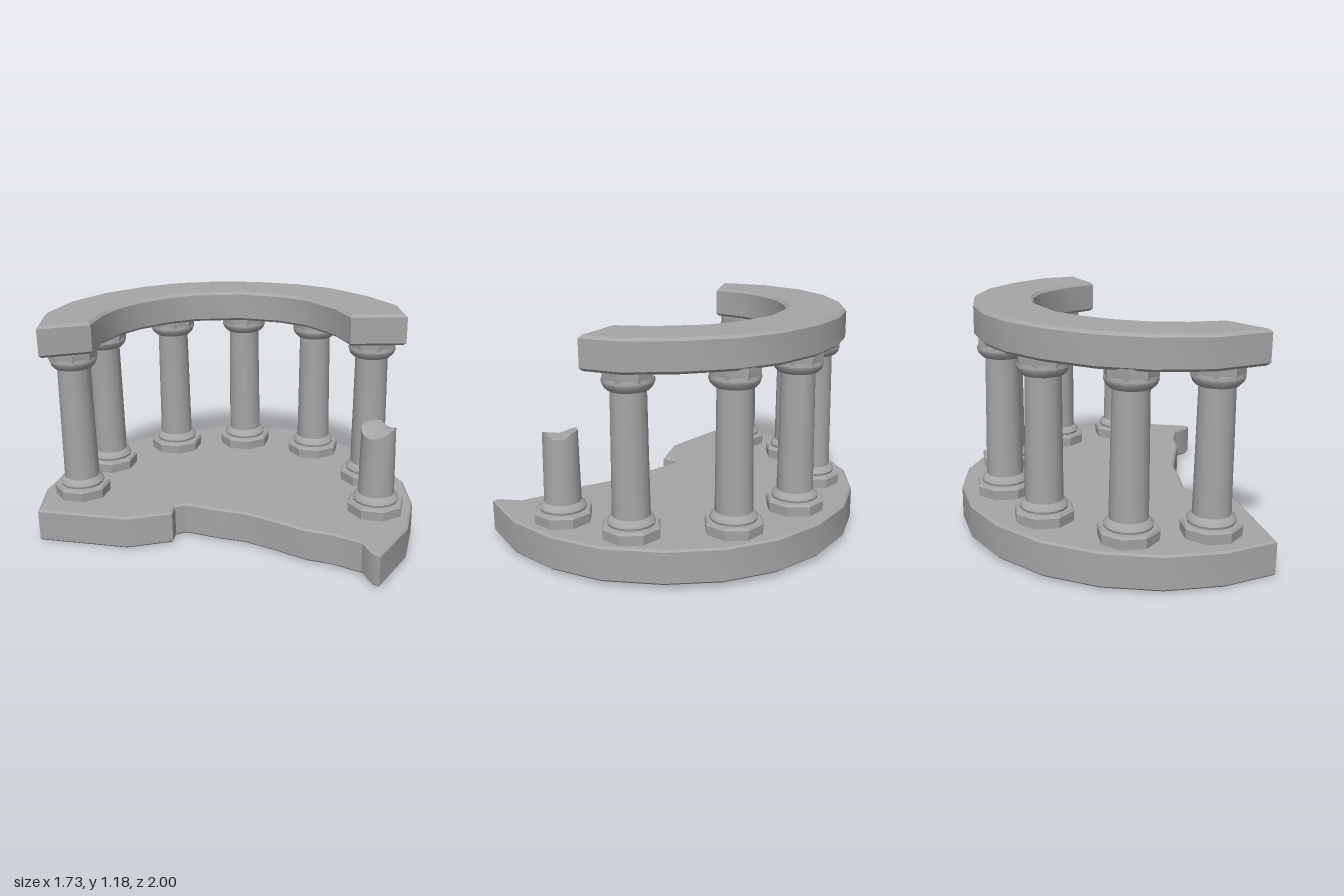
import * as THREE from 'three';
import { toCreasedNormals } from 'three/addons/utils/BufferGeometryUtils.js';

const stone = new THREE.MeshStandardMaterial({ color: 0xa6a6a6 });
stone.name = 'stone';

function addPart(parent, name, geometry, y = 0) {
  const mesh = new THREE.Mesh(toCreasedNormals(geometry, 0.6), stone);
  mesh.name = name;
  mesh.position.y = y;
  parent.add(mesh);
  return mesh;
}

// Flat slab with a worn edge from an outline of [x, z] points
function slab(points, y0, y1, bevel) {
  const shape = new THREE.Shape(points.map(([x, z]) => new THREE.Vector2(x, -z)));
  const geometry = new THREE.ExtrudeGeometry(shape, {
    depth: y1 - y0 - 2 * bevel, bevelThickness: bevel, bevelSize: bevel,
    bevelOffset: -bevel, bevelSegments: 1,
  });
  return geometry.rotateX(-Math.PI / 2).translate(0, y0 + bevel, 0);
}

function lathe(profile, sides) {
  return new THREE.LatheGeometry(profile.map(([r, y]) => new THREE.Vector2(r, y)), sides);
}

const FLOOR = 0.195, BEAM = 1.01;

// Octagonal plinth and rounded foot, shared by all columns
function columnBase(x, z, name) {
  const column = new THREE.Group();
  column.name = name;
  column.position.set(x, 0, z);
  addPart(column, 'plinth', lathe([[0.146, FLOOR - 0.01], [0.15, FLOOR + 0.05], [0.14, FLOOR + 0.063], [0, FLOOR + 0.063]], 8));
  addPart(column, 'foot', lathe([[0.115, FLOOR + 0.06], [0.119, FLOOR + 0.075], [0.112, FLOOR + 0.09], [0.094, FLOOR + 0.105]], 16));
  return column;
}

function fullColumn(x, z) {
  const column = columnBase(x, z, 'column');
  addPart(column, 'shaft', lathe([[0.094, FLOOR + 0.06], [0.092, 0.4], [0.086, 0.93]], 14));
  addPart(column, 'capitalBowl', lathe([[0.084, 0.912], [0.1, 0.915], [0.117, 0.932], [0.126, 0.955], [0.122, 0.975]], 16));
  addPart(column, 'capitalBlock', lathe([[0, 0.955], [0.122, 0.955], [0.126, 0.97], [0.126, BEAM + 0.01]], 8));
  return column;
}

// Snapped column: the top is pushed down along a slanted, jagged break
function brokenColumn(x, z) {
  const column = columnBase(x, z, 'brokenColumn');
  const top = 0.66, bottom = FLOOR + 0.06;
  const geometry = new THREE.CylinderGeometry(0.087, 0.094, top - bottom, 16, 1);
  geometry.translate(0, (top + bottom) / 2, 0);
  const p = geometry.attributes.position;
  for (let i = 0; i < p.count; i++) {
    if (p.getY(i) < top - 0.01) continue;
    const px = p.getX(i), pz = p.getZ(i);
    const slope = Math.max(0, -px - 0.02) * 0.65;
    const chip = px > 0.06 && pz > -0.02 ? 0.025 : 0;
    const dip = Math.hypot(px, pz) < 0.01 ? 0.015 : 0;
    p.setY(i, top - slope - chip - dip);
  }
  addPart(column, 'brokenShaft', geometry);
  return column;
}

export function createModel() {
  const ruin = new THREE.Group();
  ruin.name = 'ruinedColonnade';

  // Floor: rounded back and side, ragged broken edge on the other side
  const floor = [
    [-0.865, -0.69], [-0.65, -0.86], [-0.385, -0.97], [-0.1, -1], [0.185, -0.95],
    [0.445, -0.815], [0.645, -0.63], [0.79, -0.38], [0.862, -0.1], [0.847, 0.175],
    [0.75, 0.44], [0.585, 0.69], [0.365, 0.86], [0.095, 0.97], [-0.23, 0.995],
    [-0.228, 0.95], [-0.165, 0.86], [-0.18, 0.7], [-0.22, 0.57], [-0.23, 0.4],
    [-0.25, 0.21], [-0.3, 0.07], [-0.35, -0.11], [-0.4, -0.14], [-0.47, -0.1],
    [-0.66, -0.255],
  ];
  addPart(ruin, 'floor', slab(floor, 0.018, FLOOR, 0.01));

  // Curved beam resting on the columns
  const beam = [
    [-0.785, -0.665], [-0.565, -0.85], [-0.305, -0.935], [-0.05, -0.935], [0.205, -0.865],
    [0.405, -0.76], [0.565, -0.605], [0.69, -0.405], [0.78, -0.15], [0.797, 0.08],
    [0.737, 0.345], [0.63, 0.585], [0.472, 0.72], [0.295, 0.49], [0.405, 0.33],
    [0.485, 0.095], [0.48, -0.08], [0.405, -0.3], [0.235, -0.5], [0.095, -0.575],
    [-0.075, -0.625], [-0.245, -0.63], [-0.405, -0.59], [-0.57, -0.505],
  ];
  addPart(ruin, 'curvedBeam', slab(beam, BEAM, 1.175, 0.014));

  // Columns around the arc
  const spots = [[0.51, 0.5], [0.675, 0.035], [0.55, -0.385], [0.25, -0.685], [-0.19, -0.815], [-0.555, -0.67]];
  for (const [x, z] of spots) ruin.add(fullColumn(x, z));
  ruin.add(brokenColumn(0.185, 0.735));

  // The whole ruin has settled slightly to one side
  ruin.rotation.z = 0.0165;
  const model = new THREE.Group();
  model.name = 'model';
  model.add(ruin);
  return model;
}
